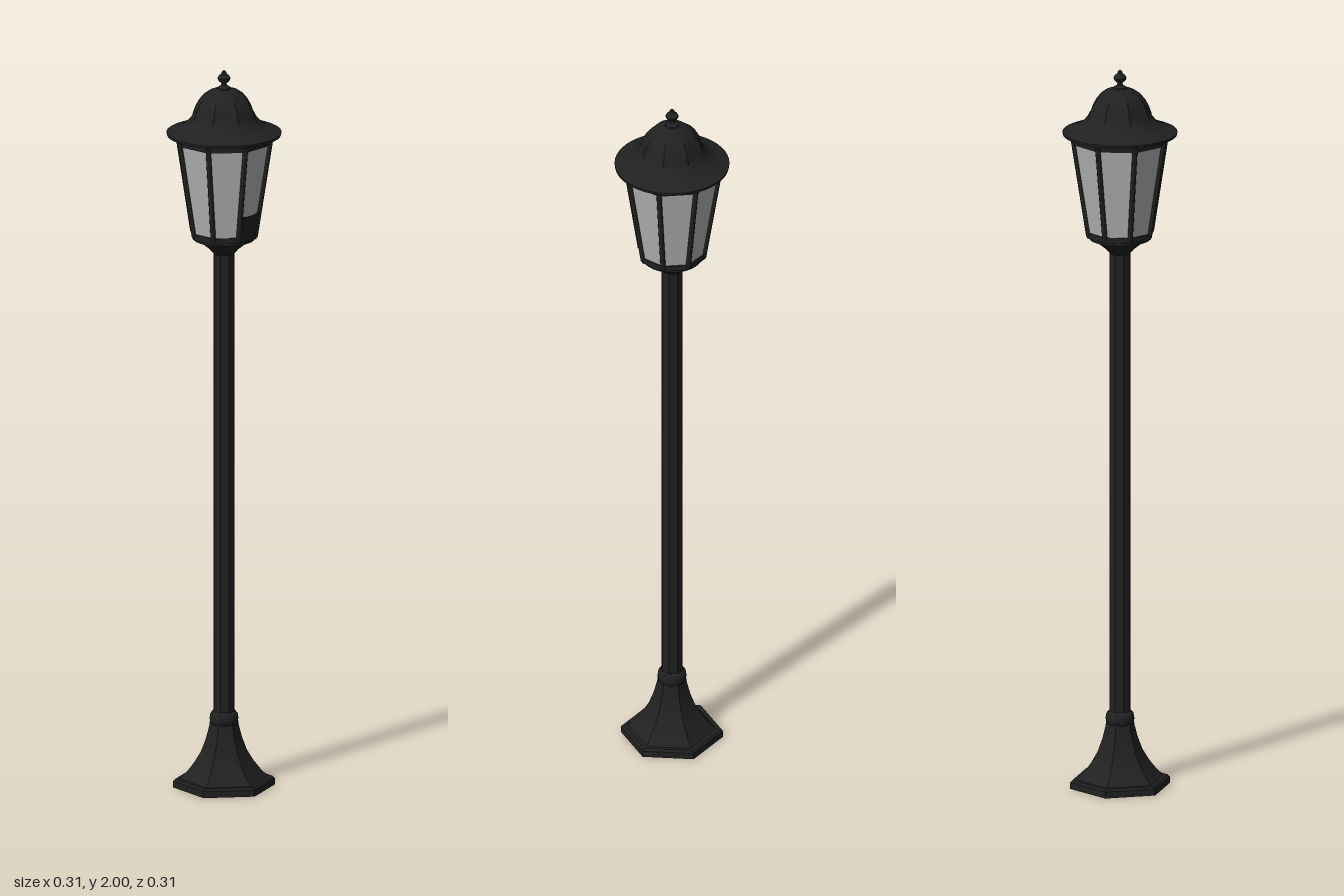
import * as THREE from 'three';
import { toCreasedNormals } from 'three/addons/utils/BufferGeometryUtils.js';

export function createModel() {
  const lamp = new THREE.Group();
  lamp.name = 'streetLamp';

  const metal = new THREE.MeshStandardMaterial({ color: 0x212121 });
  metal.name = 'black metal';
  const glass = new THREE.MeshStandardMaterial({ color: 0xb4b4b4, side: THREE.DoubleSide });
  glass.name = 'frosted glass';

  const add = (name, geometry, material = metal, parent = lamp) => {
    const mesh = new THREE.Mesh(geometry, material);
    mesh.name = name;
    parent.add(mesh);
    return mesh;
  };

  // Turned part from [radius, height] pairs, bottom to top; start is the angle of the first corner from +z
  const turned = (profile, sides, start = 0, crease = 0.6) =>
    toCreasedNormals(
      new THREE.LatheGeometry(profile.map(([r, y]) => new THREE.Vector2(r, y)), sides, start, Math.PI * 2),
      crease
    );

  const hexStart = THREE.MathUtils.degToRad(48);
  const octStart = Math.PI / 8;
  const toCorner = 1 / Math.cos(Math.PI / 8);

  // Hexagonal foot: flat plate and flared skirt
  add('basePlate', turned([[0, 0], [0.138, 0], [0.138, 0.018], [0.132, 0.024], [0, 0.024]], 6, hexStart, 0.3));
  add('baseSkirt', turned([
    [0.122, 0.022], [0.1, 0.044], [0.08, 0.07], [0.062, 0.1], [0.049, 0.135], [0.04, 0.17], [0.036, 0.205],
  ], 6, hexStart, 0.5));
  add('baseCollar', turned([
    [0.03, 0.17], [0.037, 0.178], [0.039, 0.19], [0.037, 0.203], [0.029, 0.212],
  ], 24));

  // Octagonal post
  add('post', turned([[0.03, 0.18], [0.03, 1.51]], 8, octStart, 0.3));

  // Cup that carries the lantern
  add('lanternCup', turned([
    [0.028, 1.488], [0.04, 1.502], [0.06, 1.518], [0.07, 1.526], [0.082, 1.528], [0.084, 1.547], [0, 1.547],
  ], 32));

  // Tapered eight-sided lantern
  const y0 = 1.542, y1 = 1.812, a0 = 0.082, a1 = 0.122;
  add('lanternGlass', turned([[a0 * toCorner, y0], [a1 * toCorner, y1]], 8, octStart, 0.3), glass);
  add('lowerRing', turned([
    [0.08 * toCorner, 1.536], [0.086 * toCorner, 1.536], [0.087 * toCorner, 1.552], [0.08 * toCorner, 1.552],
  ], 8, octStart, 0.3));
  add('upperRing', turned([
    [0.116 * toCorner, 1.8], [0.123 * toCorner, 1.8], [0.125 * toCorner, 1.824],
  ], 8, octStart, 0.3));

  // Bars along the lantern corners
  const bars = new THREE.Group();
  bars.name = 'lanternBars';
  lamp.add(bars);
  const up = new THREE.Vector3(0, 1, 0);
  for (let i = 0; i < 8; i++) {
    const angle = octStart + (i * Math.PI) / 4;
    const at = (a, y) => new THREE.Vector3(Math.sin(angle) * a * toCorner, y, Math.cos(angle) * a * toCorner);
    const low = at(a0, y0), high = at(a1, y1);
    const bar = add('lanternBar', new THREE.CylinderGeometry(0.007, 0.007, low.distanceTo(high), 8), metal, bars);
    bar.position.copy(low).add(high).multiplyScalar(0.5);
    bar.quaternion.setFromUnitVectors(up, high.sub(low).normalize());
  }

  // Dark plate across the foot of the front pane
  const plate = new THREE.Shape();
  plate.moveTo(-0.033, 0);
  plate.lineTo(0.033, 0);
  plate.lineTo(0.038, 0.08);
  plate.quadraticCurveTo(0.032, 0.066, 0, 0.066);
  plate.quadraticCurveTo(-0.032, 0.066, -0.038, 0.08);
  const frontPlate = add('frontPlate', new THREE.ExtrudeGeometry(plate, { depth: 0.004, bevelEnabled: false }));
  frontPlate.rotation.x = Math.atan((a1 - a0) / (y1 - y0));
  frontPlate.position.set(0, y0, a0);

  // Round brim sweeping up to an eight-sided dome
  add('roofBrim', turned([
    [0, 1.815], [0.13, 1.815], [0.154, 1.82], [0.155, 1.827], [0.14, 1.832],
    [0.118, 1.841], [0.1, 1.853], [0.088, 1.868], [0.08, 1.885],
  ], 48));
  add('roofDome', turned([
    [0.092, 1.852], [0.089, 1.872], [0.082, 1.892], [0.071, 1.912], [0.056, 1.93], [0.036, 1.944], [0, 1.951],
  ], 8, octStart, 0.5));

  // Finial
  add('finial', turned([
    [0.02, 1.944], [0.018, 1.951], [0.008, 1.957], [0.007, 1.963], [0.015, 1.97],
    [0.018, 1.977], [0.014, 1.984], [0.007, 1.989], [0.006, 1.995], [0, 2],
  ], 16));

  return lamp;
}
